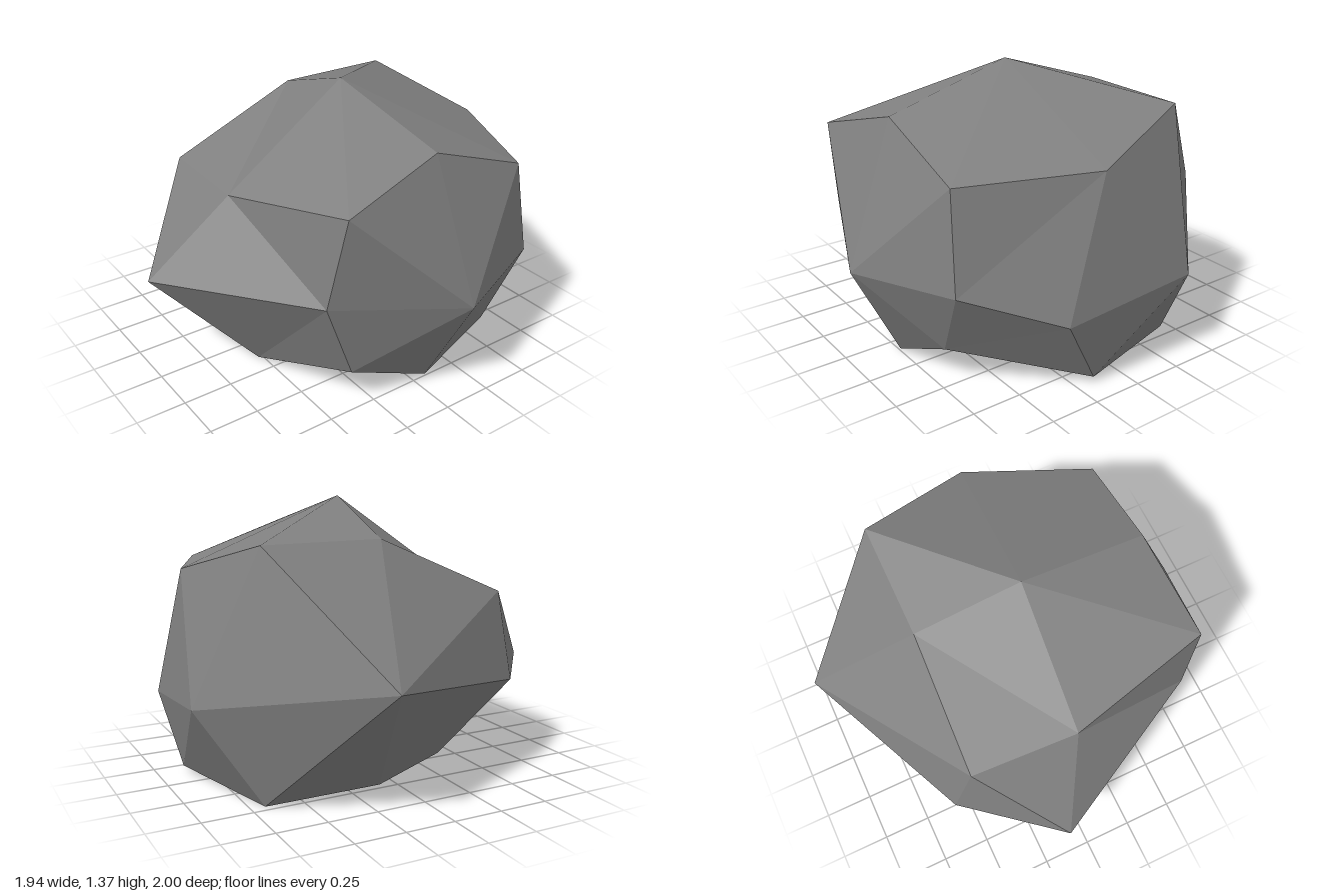
import * as THREE from 'three';

// Corners of a 2x2x2-segment block worn into a boulder.
// Three slices from -x to +x; in each, rows go from bottom to top, points from back to front.
const SLICES = [
  [
    [[-0.30, 0.08, -0.39], [-0.52, 0, 0.14], [-0.37, 0.20, 0.73]],
    [[-0.59, 0.48, -0.59], [-0.97, 0.48, -0.12], [-0.52, 0.60, 0.74]],
    [[-0.58, 0.91, -0.48], [-0.61, 0.92, 0.07], [-0.45, 1.05, 0.80]],
  ],
  [
    [[0.08, 0, -0.46], [0.08, 0, 0.14], [0.08, 0, 0.74]],
    [[0.28, 0.61, -1.0], null, [0.12, 0.51, 1.0]],
    [[0.08, 1.20, -0.46], [0.04, 1.37, 0.07], [0.08, 1.20, 0.74]],
  ],
  [
    [[0.68, 0, -0.46], [0.87, 0.03, 0.16], [0.47, 0.18, 0.72]],
    [[0.97, 0.46, -0.32], [0.93, 0.38, 0.36], [0.67, 0.54, 0.78]],
    [[0.68, 1.20, -0.46], [0.86, 1.04, 0.12], [0.60, 1.02, 0.75]],
  ],
];

const distance = (a, b) => Math.hypot(a[0] - b[0], a[1] - b[1], a[2] - b[2]);

function createRockGeometry() {
  const positions = [];
  const put = (...points) => points.forEach((p) => positions.push(...p));

  for (let axis = 0; axis < 3; axis++) {
    const uAxis = (axis + 1) % 3;
    const vAxis = (axis + 2) % 3;
    for (const side of [0, 2]) {
      const point = (u, v) => {
        const id = [];
        id[axis] = side;
        id[uAxis] = u;
        id[vAxis] = v;
        return SLICES[id[0]][id[1]][id[2]];
      };
      for (let u = 0; u < 2; u++) {
        for (let v = 0; v < 2; v++) {
          const a = point(u, v);
          const b = point(u + 1, v);
          const c = point(u + 1, v + 1);
          const d = point(u, v + 1);
          // Fold each facet along its shorter diagonal, but keep two folds the other way
          const quad = [a, b, c, d];
          const upperBack = quad.includes(SLICES[0][2][0]) && axis === 2;
          const frontSide = quad.includes(SLICES[2][2][2]) && axis === 0;
          let foldAC = distance(a, c) < distance(b, d);
          if (upperBack || frontSide) foldAC = !foldAC;
          const triangles = foldAC ? [[a, b, c], [a, c, d]] : [[a, b, d], [b, c, d]];
          for (const [p, q, r] of triangles) side ? put(p, q, r) : put(p, r, q);
        }
      }
    }
  }

  const geometry = new THREE.BufferGeometry();
  geometry.setAttribute('position', new THREE.Float32BufferAttribute(positions, 3));
  geometry.computeVertexNormals(); // unshared corners give flat facets
  return geometry;
}

export function createModel() {
  const stone = new THREE.MeshStandardMaterial({ color: 0x808080 });
  stone.name = 'stone grey';

  const rock = new THREE.Mesh(createRockGeometry(), stone);
  rock.name = 'rock';

  const model = new THREE.Group();
  model.name = 'boulder';
  model.add(rock);
  return model;
}
